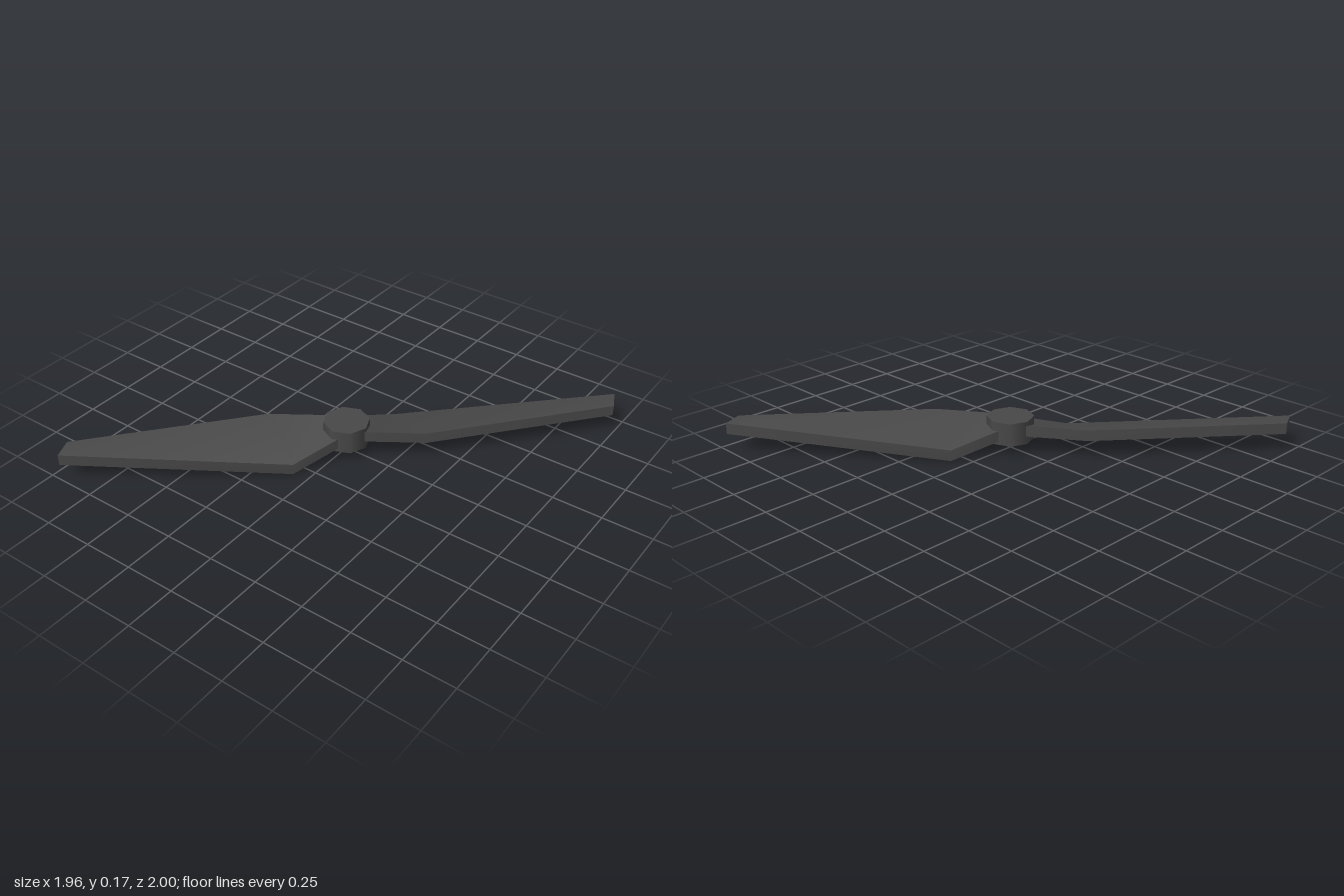
import * as THREE from 'three';
import { toCreasedNormals } from 'three/addons/utils/BufferGeometryUtils.js';

const THICKNESS = 0.055;

// Cross-sections from root to tip: [trailing edge, leading edge], upper surface
const SECTIONS = [
  [[-0.1, 0.145, -0.015], [0.025, 0.122, 0.105]],
  [[-0.36, 0.145, 0.16], [-0.08, 0.055, 0.32]],
  [[-0.98, 0.145, 0.9], [-0.935, 0.145, 1.0]],
];

function bladeGeometry() {
  const positions = [];
  const index = [];
  // Four corners per section: top trailing, top leading, bottom leading, bottom trailing
  for (const [t, l] of SECTIONS) {
    positions.push(...t, ...l);
    positions.push(l[0], l[1] - THICKNESS, l[2], t[0], t[1] - THICKNESS, t[2]);
  }
  const quad = (a, b, c, d) => index.push(a, b, c, a, c, d);
  for (let s = 0; s < SECTIONS.length - 1; s++) {
    for (let k = 0; k < 4; k++) {
      const a = s * 4 + k;
      const b = s * 4 + (k + 1) % 4;
      quad(a, a + 4, b + 4, b);
    }
  }
  // Root and tip caps
  const e = (SECTIONS.length - 1) * 4;
  quad(0, 1, 2, 3);
  quad(e + 3, e + 2, e + 1, e);
  const geo = new THREE.BufferGeometry();
  geo.setAttribute('position', new THREE.Float32BufferAttribute(positions, 3));
  geo.setIndex(index);
  return toCreasedNormals(geo, 0.6);
}

export function createModel() {
  const model = new THREE.Group();
  model.name = 'propeller';
  const darkGrey = new THREE.MeshStandardMaterial({ color: 0x484848 });
  darkGrey.name = 'dark grey';

  // Eight-sided hub
  const hub = new THREE.Mesh(new THREE.CylinderGeometry(0.115, 0.115, 0.115, 8), darkGrey);
  hub.name = 'hub';
  hub.position.y = 0.1075;
  model.add(hub);

  // Two twisted blades, half a turn apart
  const blade = bladeGeometry();
  ['bladeFront', 'bladeBack'].forEach((name, i) => {
    const mesh = new THREE.Mesh(blade, darkGrey);
    mesh.name = name;
    mesh.rotation.y = i * Math.PI;
    model.add(mesh);
  });
  return model;
}
